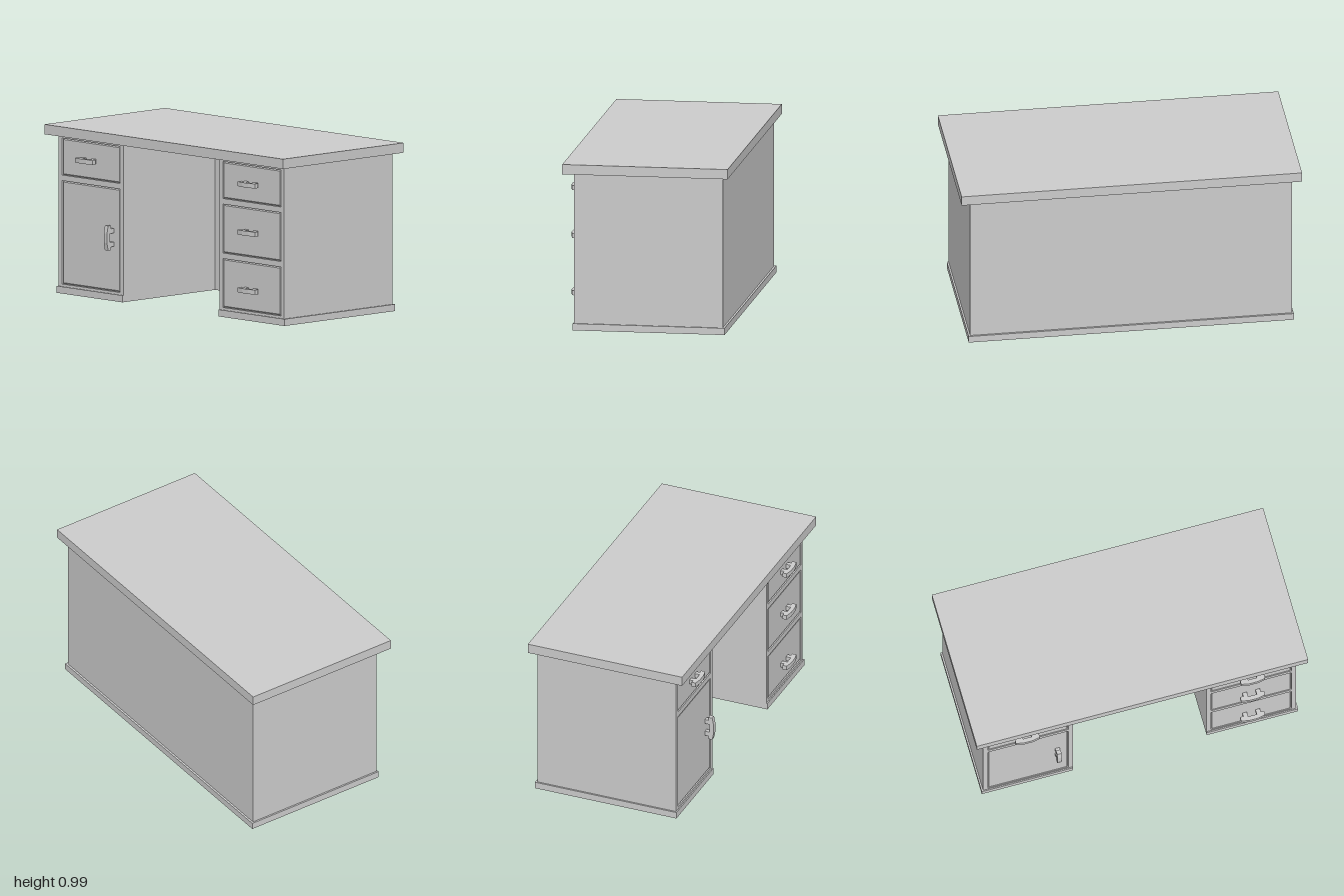
import * as THREE from 'three';

const material = new THREE.MeshStandardMaterial({ color: 0xcccccc });
const FRONT = 0.425, FLOOR = 0.412; // front plane and depth of the panel recesses

function part(name, geometry, parent) {
  const mesh = new THREE.Mesh(geometry, material);
  mesh.name = name;
  parent.add(mesh);
  return mesh;
}

function polygon(points) {
  return new THREE.Shape(points.map(([x, y]) => new THREE.Vector2(x, y)));
}

function rect(x0, x1, y0, y1) {
  return [[x0, y0], [x1, y0], [x1, y1], [x0, y1]];
}

// U-shaped floor plan around the knee space, raised from y0 to y1
function uBlock(halfWidth, zBack, zFront, y0, y1) {
  const knee = 0.403, zKnee = -0.315;
  const plan = polygon([
    [-halfWidth, -zFront], [-knee, -zFront], [-knee, -zKnee], [knee, -zKnee],
    [knee, -zFront], [halfWidth, -zFront], [halfWidth, -zBack], [-halfWidth, -zBack],
  ]);
  return new THREE.ExtrudeGeometry(plan, { depth: y1 - y0, bevelEnabled: false })
    .rotateX(-Math.PI / 2).translate(0, y0, 0);
}

// Bow handle with two feet and a bar that is thicker in the middle
function handleGeometry() {
  const half = [[0.026, 0], [0.053, 0], [0.053, 0.021], [0.0725, 0.021], [0.0725, 0.046], [0.027, 0.055]];
  const mirrored = half.map(([u, d]) => [-u, d]).reverse();
  const profile = polygon([...half, ...mirrored, [-0.026, 0.03], [0.026, 0.03]]);
  return new THREE.ExtrudeGeometry(profile, { depth: 0.027, bevelEnabled: false })
    .translate(0, 0, -0.0135).rotateX(Math.PI / 2);
}

// Front frame with recesses, filled by bevelled panels that carry the handles
function pedestalFront(name, x0, x1, panels) {
  const group = new THREE.Group();
  group.name = name;
  const frame = polygon(rect(x0, x1, 0.04, 0.925));
  const [px0, px1] = [x0 + 0.028, x1 - 0.028];
  const bevel = 0.008, rise = 0.009;

  for (const p of panels) {
    frame.holes.push(new THREE.Path(rect(px0, px1, p.y0, p.y1)
      .reverse().map(([x, y]) => new THREE.Vector2(x, y))));
    const face = polygon(rect(px0 + bevel, px1 - bevel, p.y0 + bevel, p.y1 - bevel));
    const panel = new THREE.ExtrudeGeometry(face, {
      depth: 0.001, bevelEnabled: true, bevelSegments: 1, bevelSize: bevel, bevelThickness: rise,
    });
    part(p.name, panel.translate(0, 0, FLOOR), group);

    const handle = part(p.name + 'Handle', handleGeometry(), group);
    handle.position.set(p.handle[0], p.handle[1], FRONT - 0.001);
    if (p.upright) handle.rotation.z = Math.PI / 2;
  }

  const frameGeometry = new THREE.ExtrudeGeometry(frame, { depth: FRONT - FLOOR, bevelEnabled: false });
  part('frontFrame', frameGeometry.translate(0, 0, FLOOR), group);
  return group;
}

export function createModel() {
  const desk = new THREE.Group();
  desk.name = 'desk';

  // Desktop, carcass and plinth
  part('desktop', new THREE.BoxGeometry(2, 0.058, 0.974), desk).position.y = 0.961;
  part('carcass', uBlock(0.945, -0.45, FLOOR, 0.04, 0.925), desk);
  part('plinth', uBlock(0.955, -0.462, 0.432, 0, 0.04), desk);

  // Cupboard pedestal on one side, three drawers on the other
  desk.add(pedestalFront('cupboardFront', -0.945, -0.403, [
    { name: 'upperDrawer', y0: 0.695, y1: 0.912, handle: [-0.687, 0.803] },
    { name: 'door', y0: 0.055, y1: 0.662, handle: [-0.497, 0.372], upright: true },
  ]));
  desk.add(pedestalFront('drawerFront', 0.403, 0.945, [
    { name: 'topDrawer', y0: 0.695, y1: 0.912, handle: [0.673, 0.803] },
    { name: 'middleDrawer', y0: 0.375, y1: 0.662, handle: [0.673, 0.52] },
    { name: 'bottomDrawer', y0: 0.055, y1: 0.342, handle: [0.673, 0.18] },
  ]));

  return desk;
}
